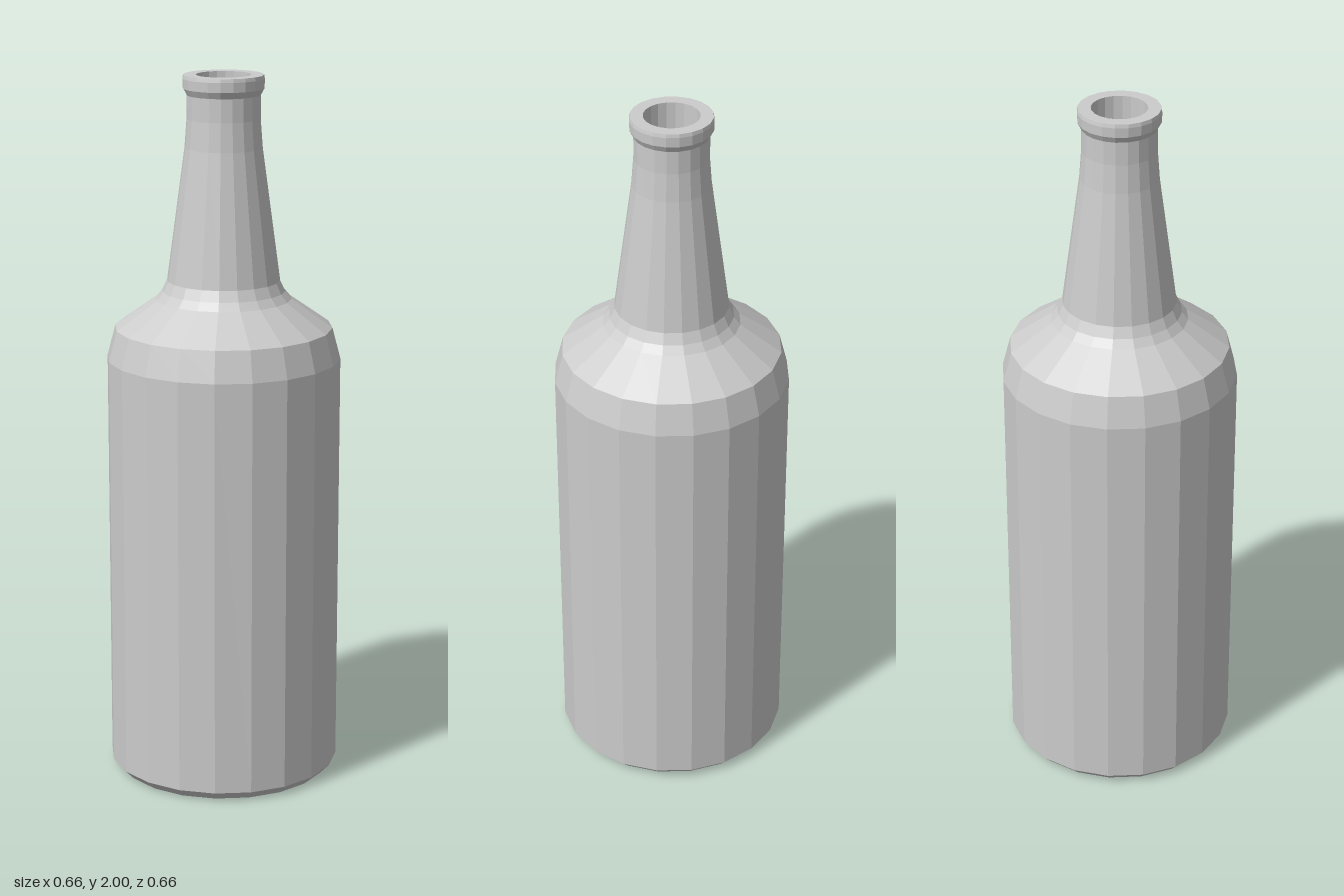
import * as THREE from 'three';

const SIDES = 20;

export function createModel() {
  const group = new THREE.Group();
  group.name = 'bottle';
  const material = new THREE.MeshStandardMaterial({ color: 0xcccccc, flatShading: true });

  // Turns a [radius, height] profile into a faceted part
  const turn = (name, profile) => {
    const points = profile.map(([r, y]) => new THREE.Vector2(r, y));
    const mesh = new THREE.Mesh(new THREE.LatheGeometry(points, SIDES), material);
    mesh.name = name;
    group.add(mesh);
  };

  // Base, straight wall and bevelled shoulder edge
  turn('body', [[0, 0], [0.303, 0], [0.328, 0.026], [0.328, 1.21], [0.305, 1.297]]);

  // Sloping shoulder curving up into the neck
  turn('shoulder', [[0.305, 1.297], [0.19, 1.378], [0.172, 1.4], [0.158, 1.43]]);

  // Tapered neck
  turn('neck', [[0.158, 1.43], [0.108, 1.8], [0.102, 1.88], [0.102, 1.945]]);

  // Rolled lip with flat rim
  turn('lip', [[0.102, 1.945], [0.112, 1.963], [0.113, 1.99], [0.111, 2], [0.076, 2]]);

  // Hollow inside, from the mouth down to the floor
  turn('innerWall', [
    [0.076, 2], [0.076, 1.85], [0.125, 1.43], [0.16, 1.36],
    [0.275, 1.27], [0.295, 1.2], [0.295, 0.04], [0, 0.04],
  ]);

  return group;
}
